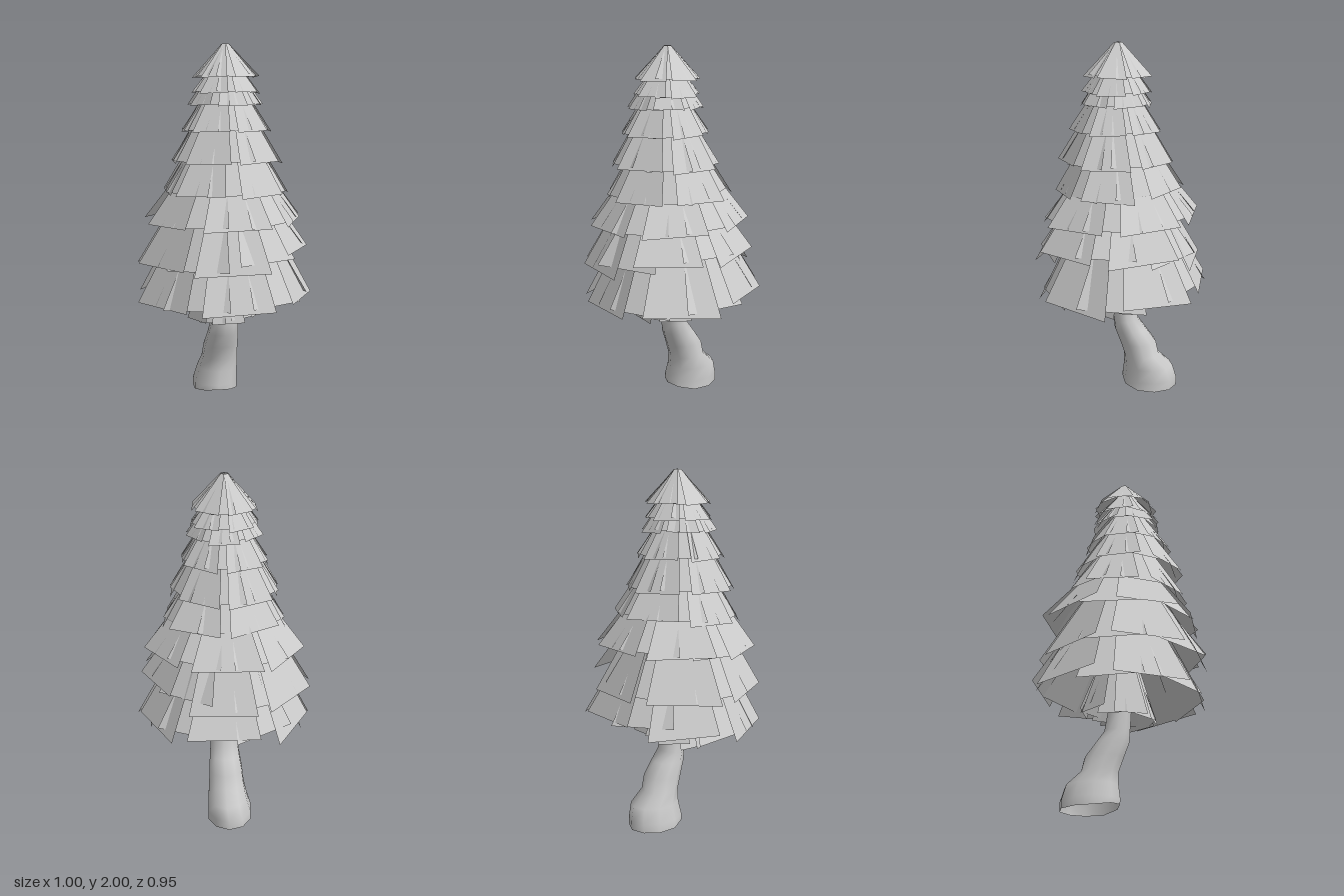
import * as THREE from 'three';

const material = new THREE.MeshStandardMaterial({ color: 0xcccccc, side: THREE.DoubleSide });
const needleMaterial = new THREE.MeshStandardMaterial({ color: 0xcccccc, side: THREE.DoubleSide, flatShading: true });

function seeded(seed) {
  let s = seed;
  return () => (s = (s * 16807) % 2147483647) / 2147483647;
}

// Crooked hollow trunk: smooth skin over rings of [y, x centre, z centre, x radius, z radius]
function makeTrunk() {
  const sides = 10;
  const rings = [
    [0, -0.035, -0.145, 0.132, 0.16],
    [0.05, -0.035, -0.145, 0.13, 0.162],
    [0.13, -0.022, -0.14, 0.118, 0.145],
    [0.2, -0.015, -0.1, 0.106, 0.103],
    [0.28, -0.01, -0.078, 0.1, 0.108],
    [0.36, -0.003, -0.035, 0.09, 0.093],
    [0.42, 0, -0.01, 0.083, 0.072],
    [0.55, 0.003, 0.005, 0.077, 0.065],
    [0.9, 0, 0.03, 0.06, 0.055],
    [1.4, 0, 0.04, 0.04, 0.04],
    [1.85, 0, 0.035, 0.015, 0.015],
  ];
  const positions = [];
  const index = [];
  rings.forEach(([y, cx, cz, rx, rz], j) => {
    for (let i = 0; i < sides; i++) {
      const a = (i / sides) * Math.PI * 2;
      // The open foot is arched at the front
      const arch = j === 0 ? 0.025 * Math.max(0, Math.cos(a)) ** 2 : 0;
      positions.push(cx + Math.sin(a) * rx, y + arch, cz + Math.cos(a) * rz);
      if (j === rings.length - 1) continue;
      const p = j * sides + i;
      const q = j * sides + ((i + 1) % sides);
      index.push(p, q, q + sides, p, q + sides, p + sides);
    }
  });
  const geometry = new THREE.BufferGeometry();
  geometry.setAttribute('position', new THREE.Float32BufferAttribute(positions, 3));
  geometry.setIndex(index);
  geometry.computeVertexNormals();
  const trunk = new THREE.Mesh(geometry, material);
  trunk.name = 'trunk';
  return trunk;
}

// One tier: six broad, flat, tapering boughs with six more tucked into the gaps
function makeTier({ y, r, h, topR, z, liftX = 0, liftBack = 0, phase = 0, jitter = 0.02 }, seed) {
  const count = 6;
  const step = (Math.PI * 2) / count;
  const random = seeded(seed * 7919 + 13);
  const wobble = (amount) => (random() - 0.5) * 2 * amount;
  const positions = [];

  const addBough = (angle, low, bottomR, high, upperR, bottomHalf, topHalf) => {
    const tangent = new THREE.Vector3(Math.cos(angle), 0, -Math.sin(angle));
    const outward = new THREE.Vector3(Math.sin(angle), 0, Math.cos(angle));
    const roll = wobble(jitter * 2.5);
    const yaw = wobble(jitter * 4);
    // The far ends of the tier are lifted to the left and the back
    const lift = liftX * Math.max(outward.x, 0) * r + liftBack * Math.max(-outward.z, 0) * r;
    const corner = (radius, height, side) => {
      const p = outward.clone().multiplyScalar(radius + side * yaw).addScaledVector(tangent, side);
      p.y = Math.min(height + side * roll, 2);
      p.z += z;
      return p;
    };
    const a = corner(bottomR, low + lift, -bottomHalf);
    const b = corner(bottomR, low + lift, bottomHalf);
    const c = corner(upperR, high, topHalf);
    const d = corner(upperR, high, -topHalf);
    for (const p of [a, b, c, a, c, d]) positions.push(p.x, p.y, p.z);
  };

  for (let i = 0; i < count; i++) {
    const angle = phase + i * step + wobble(0.05);
    const half = r * (0.45 + wobble(0.025));
    addBough(angle, y + wobble(jitter * 0.3), r * (1 + wobble(0.02)), y + h, topR, half, topR * 0.4 + 0.004);
    addBough(angle + step / 2 + wobble(0.06), y + random() * jitter * 0.6, r * 0.94, y + h * 0.98, topR * 0.85,
      half * 0.9, topR * 0.3 + 0.004);
  }
  const geometry = new THREE.BufferGeometry();
  geometry.setAttribute('position', new THREE.Float32BufferAttribute(positions, 3));
  geometry.computeVertexNormals();
  return new THREE.Mesh(geometry, needleMaterial);
}

export function createModel() {
  const model = new THREE.Group();
  model.name = 'pineTree';
  model.add(makeTrunk());

  // Tiers from the skirt under the crown to the tip
  const turn = Math.PI / 6;
  const tiers = [
    { y: 0.465, r: 0.2, h: 0.36, topR: 0.1, z: 0, liftBack: 0.4, liftX: 0.2 },
    { y: 0.58, r: 0.452, h: 0.52, topR: 0.21, z: 0.005, liftBack: 0.2, liftX: 0.06, phase: 0.05 },
    { y: 0.8, r: 0.43, h: 0.44, topR: 0.2, z: 0.04, liftX: 0.22, phase: -0.04 },
    { y: 1.02, r: 0.405, h: 0.38, topR: 0.16, z: 0.025, liftX: 0.05, liftBack: 0.08, phase: 0.03 },
    { y: 1.19, r: 0.325, h: 0.36, topR: 0.13, z: 0.035, liftBack: 0.1, phase: turn },
    { y: 1.36, r: 0.29, h: 0.34, topR: 0.1, z: 0.05, phase: turn },
    { y: 1.53, r: 0.232, h: 0.27, topR: 0.07, z: 0.05, phase: turn },
    { y: 1.67, r: 0.188, h: 0.22, topR: 0.05, z: 0.045, phase: 0.05 },
    { y: 1.735, r: 0.175, h: 0.2, topR: 0.035, z: 0.04, phase: turn },
    { y: 1.82, r: 0.17, h: 0.18, topR: 0.018, z: 0.035, phase: turn },
  ];
  const crown = new THREE.Group();
  crown.name = 'crown';
  tiers.forEach((tier, i) => {
    const mesh = makeTier(tier, i + 3);
    mesh.name = `boughTier${i + 1}`;
    crown.add(mesh);
  });
  model.add(crown);
  return model;
}
